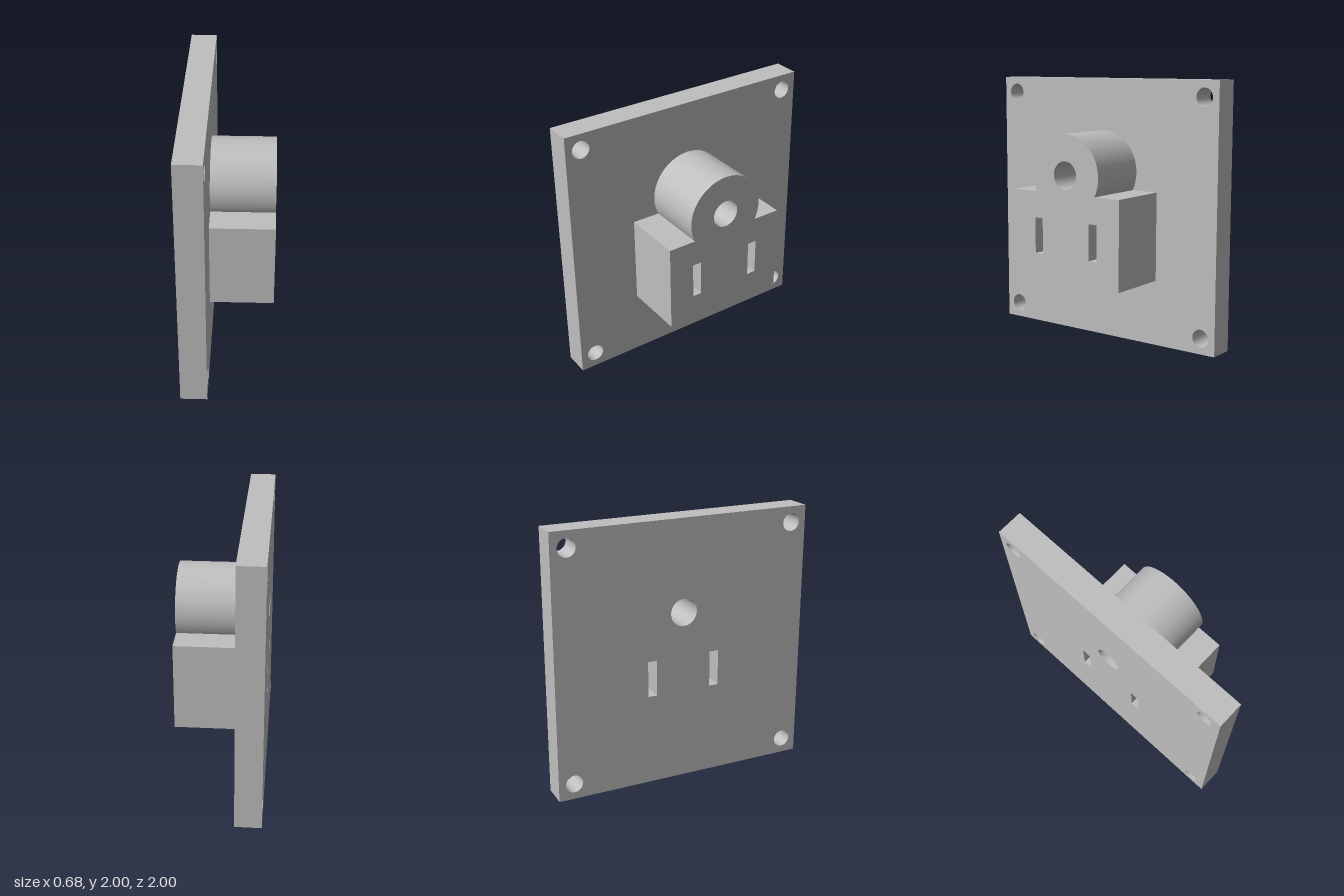
import * as THREE from 'three';
import { toCreasedNormals } from 'three/addons/utils/BufferGeometryUtils.js';

const PIN_Y = 1.305; // centre height of the round ground pin hole

function roundHole(x, y, r) {
  const p = new THREE.Path();
  p.absarc(x, y, r, 0, Math.PI * 2, true);
  return p;
}

function rectHole(x0, x1, y0, y1) {
  return new THREE.Path([[x0, y0], [x0, y1], [x1, y1], [x1, y0]].map(([x, y]) => new THREE.Vector2(x, y)));
}

// The pin hole and two blade slots run through both plate and housing
function socketHoles() {
  return [
    roundHole(0, PIN_Y, 0.104),
    rectHole(-0.287, -0.216, 0.694, 0.968),
    rectHole(0.216, 0.287, 0.694, 0.968),
  ];
}

// Extrudes a side profile along +x, starting at x0
function slab(name, shape, x0, x1, material) {
  let geo = new THREE.ExtrudeGeometry(shape, { depth: x1 - x0, bevelEnabled: false, curveSegments: 48 });
  geo.rotateY(Math.PI / 2);
  geo.translate(x0, 0, 0);
  geo = toCreasedNormals(geo, Math.PI / 6);
  const mesh = new THREE.Mesh(geo, material);
  mesh.name = name;
  return mesh;
}

export function createModel() {
  const group = new THREE.Group();
  group.name = 'wallSocket';
  const grey = new THREE.MeshStandardMaterial({ color: 0xbfbfbf });
  grey.name = 'plain grey';

  // Square wall plate with four screw holes
  const plate = new THREE.Shape();
  plate.moveTo(-1, 0).lineTo(1, 0).lineTo(1, 2).lineTo(-1, 2).closePath();
  plate.holes.push(...socketHoles());
  for (const x of [-0.88, 0.88]) {
    for (const y of [0.12, 1.88]) plate.holes.push(roundHole(x, y, 0.067));
  }
  group.add(slab('wallPlate', plate, -0.338, -0.14, grey));

  // Housing: box with a round boss rising from its top
  const w = 0.485, bottom = 0.498, top = 1.168, r = 0.302;
  const a = Math.asin((top - PIN_Y) / r);
  const body = new THREE.Shape();
  body.moveTo(-w, bottom).lineTo(w, bottom).lineTo(w, top);
  body.absarc(0, PIN_Y, r, a, Math.PI - a, false);
  body.lineTo(-w, top).closePath();
  body.holes.push(...socketHoles());
  group.add(slab('socketHousing', body, -0.14, 0.338, grey));

  return group;
}
